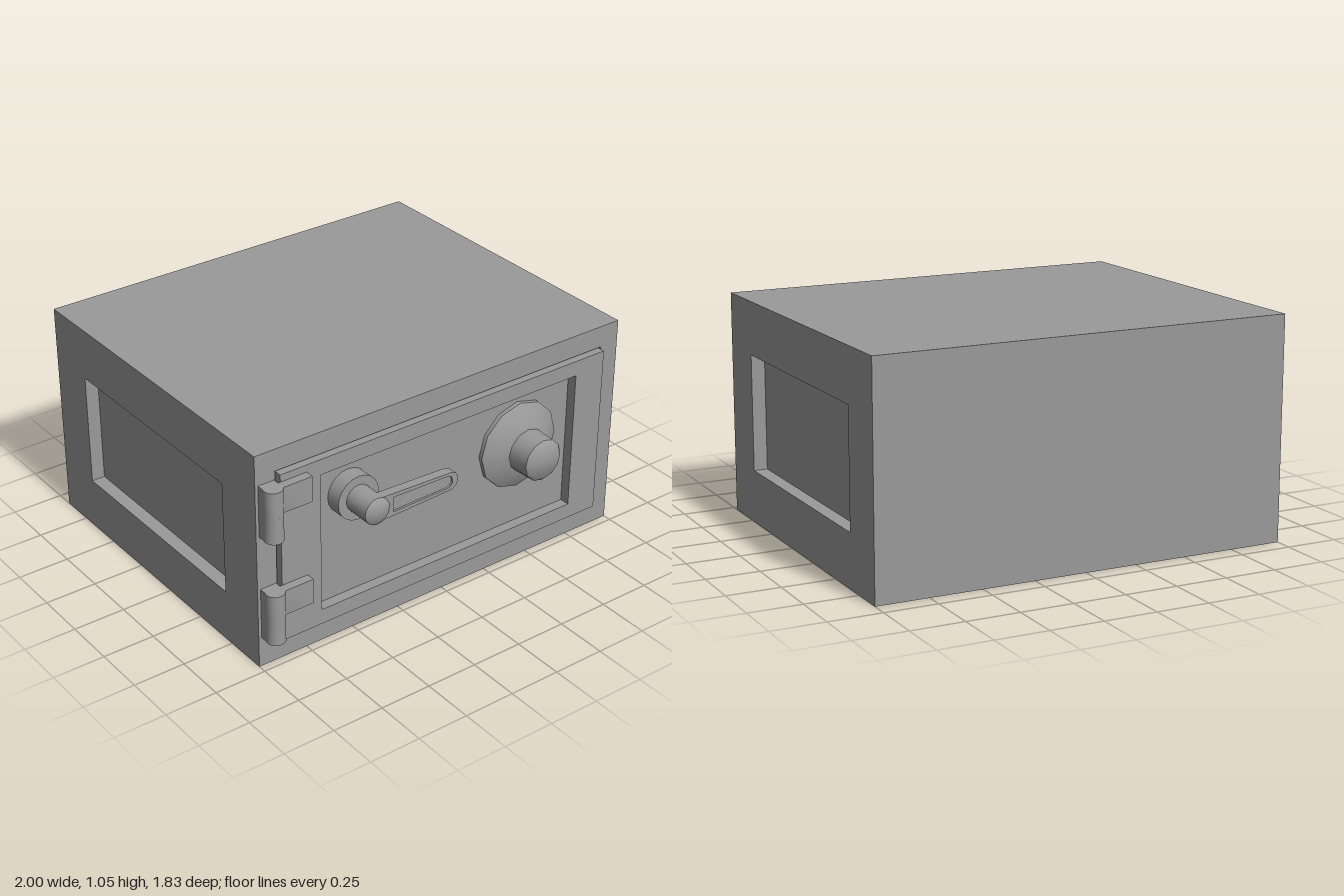
import * as THREE from 'three';
import { mergeGeometries, toCreasedNormals } from 'three/addons/utils/BufferGeometryUtils.js';

const material = new THREE.MeshStandardMaterial({ color: 0x9a9a9a });

function part(name, geometry, x = 0, y = 0, z = 0) {
  const mesh = new THREE.Mesh(geometry, material);
  mesh.name = name;
  mesh.position.set(x, y, z);
  return mesh;
}

// Box with only the listed faces (0 +x, 1 -x, 2 +y, 3 -y, 4 +z, 5 -z), optionally turned inside out
function boxFaces(w, h, d, faces, inward = false) {
  const geometry = new THREE.BoxGeometry(w, h, d);
  const all = Array.from(geometry.index.array);
  const index = faces.flatMap((f) => all.slice(f * 6, f * 6 + 6));
  if (inward) index.reverse();
  geometry.setIndex(index);
  geometry.clearGroups();
  if (inward) {
    const n = geometry.attributes.normal;
    for (let i = 0; i < n.count; i++) n.setXYZ(i, -n.getX(i), -n.getY(i), -n.getZ(i));
  }
  return geometry;
}

function rect(target, w, h, x = 0) {
  target.moveTo(x - w / 2, -h / 2);
  target.lineTo(x + w / 2, -h / 2);
  target.lineTo(x + w / 2, h / 2);
  target.lineTo(x - w / 2, h / 2);
  target.closePath();
  return target;
}

// Flat panel facing +z with a rectangular recess sunk into it
function recessedPanel(w, h, rw, rh, rx, depth) {
  const shape = rect(new THREE.Shape(), w, h);
  shape.holes.push(rect(new THREE.Path(), rw, rh, rx));
  const tray = boxFaces(rw, rh, depth, [0, 1, 2, 3, 5], true).translate(rx, 0, -depth / 2);
  return mergeGeometries([new THREE.ShapeGeometry(shape), tray]);
}

// Turned part whose axis points to +z; profile is [radius, z]
function turned(profile, sides) {
  const lathe = new THREE.LatheGeometry(profile.map(([r, z]) => new THREE.Vector2(r, z)), sides);
  return toCreasedNormals(lathe.rotateX(Math.PI / 2), 0.75);
}

function createBody() {
  const W = 2, H = 1.055, D = 1.624;
  const side = (sign) => recessedPanel(D, H, 1.125, 0.55, 0, 0.065)
    .rotateY(sign * Math.PI / 2).translate(sign * W / 2, 0, 0);
  const front = recessedPanel(W, H, 1.8, 0.845, 0, 0.05).translate(0, 0, D / 2);
  const geometry = mergeGeometries([boxFaces(W, H, D, [2, 3, 5]), side(1), side(-1), front]);
  return part('body', geometry, 0, H / 2, -0.102);
}

function createDoor() {
  const w = 1.788, h = 0.834, d = 0.08;
  const front = recessedPanel(w, h, 1.42, 0.685, 0.02, 0.05).translate(0, 0, d / 2);
  return part('door', mergeGeometries([boxFaces(w, h, d, [0, 1, 2, 3, 5]), front]), 0, 0.5275, 0.7);
}

// Leaf that wraps the hinge pin, extruded upwards and shaded smoothly from pin to leaf
function leafGeometry(radius, length, thickness, height) {
  const a = Math.asin(thickness / 2 / radius);
  const shape = new THREE.Shape();
  shape.absarc(0, 0, radius, a, Math.PI * 2 - a);
  shape.lineTo(length, -thickness / 2);
  shape.lineTo(length, thickness / 2);
  shape.closePath();
  const geometry = new THREE.ExtrudeGeometry(shape, { depth: height, bevelEnabled: false, curveSegments: 8 });
  return toCreasedNormals(geometry.rotateX(-Math.PI / 2), 1.2);
}

function createHinge(name, bottom) {
  const group = new THREE.Group();
  group.name = name;
  const pin = toCreasedNormals(new THREE.CylinderGeometry(0.044, 0.044, 0.127, 16), 0.7);
  group.add(
    part('hingePin', pin, -0.945, 0.0635, 0.76),
    part('hingeMount', new THREE.BoxGeometry(0.08, 0.25, 0.035), -0.945, 0.125, 0.7275),
    part('hingeLeaf', leafGeometry(0.044, 0.184, 0.042, 0.123), -0.945, 0.127, 0.76)
  );
  group.position.y = bottom;
  return group;
}

function createDial() {
  const dial = new THREE.Group();
  dial.name = 'dial';
  dial.add(
    part('dialCone', turned([[0, 0], [0.215, 0], [0.215, 0.02], [0.11, 0.08], [0, 0.08]], 12)),
    part('dialKnob', turned([[0, 0.07], [0.107, 0.07], [0.102, 0.187], [0.085, 0.203], [0, 0.206]], 12))
  );
  dial.position.set(0.43, 0.601, 0.69);
  return dial;
}

// Tapered bar from x0 to x1 with a rounded far end
function bar(target, x0, x1, h0, h1) {
  const c = h1 * 0.8;
  target.moveTo(x0, -h0);
  target.lineTo(x1 - c, -h1);
  target.lineTo(x1 - c * 0.3, -h1 * 0.75);
  target.lineTo(x1, -h1 * 0.3);
  target.lineTo(x1, h1 * 0.3);
  target.lineTo(x1 - c * 0.3, h1 * 0.75);
  target.lineTo(x1 - c, h1);
  target.lineTo(x0, h0);
  target.closePath();
  return target;
}

function createHandle() {
  const handle = new THREE.Group();
  handle.name = 'handle';
  const outline = bar(new THREE.Shape(), 0.02, 0.434, 0.058, 0.044);
  outline.holes.push(bar(new THREE.Path(), 0.087, 0.405, 0.036, 0.03));
  const rim = new THREE.ExtrudeGeometry(outline, { depth: 0.045, bevelEnabled: false });
  const inset = new THREE.ExtrudeGeometry(bar(new THREE.Shape(), 0.087, 0.405, 0.036, 0.03),
    { depth: 0.035, bevelEnabled: false });
  handle.add(
    part('handleBase', turned([[0, 0], [0.107, 0], [0.107, 0.076], [0, 0.076]], 20)),
    part('handleHub', turned([[0, 0.07], [0.065, 0.07], [0.065, 0.208], [0.05, 0.221], [0, 0.223]], 16)),
    part('leverRim', rim, 0, 0, 0.161),
    part('leverInset', inset, 0, 0, 0.161)
  );
  handle.position.set(-0.512, 0.703, 0.69);
  return handle;
}

export function createModel() {
  const safe = new THREE.Group();
  safe.name = 'safe';
  safe.add(
    createBody(),
    createDoor(),
    createHinge('upperHinge', 0.66),
    createHinge('lowerHinge', 0.147),
    createHandle(),
    createDial()
  );
  return safe;
}
